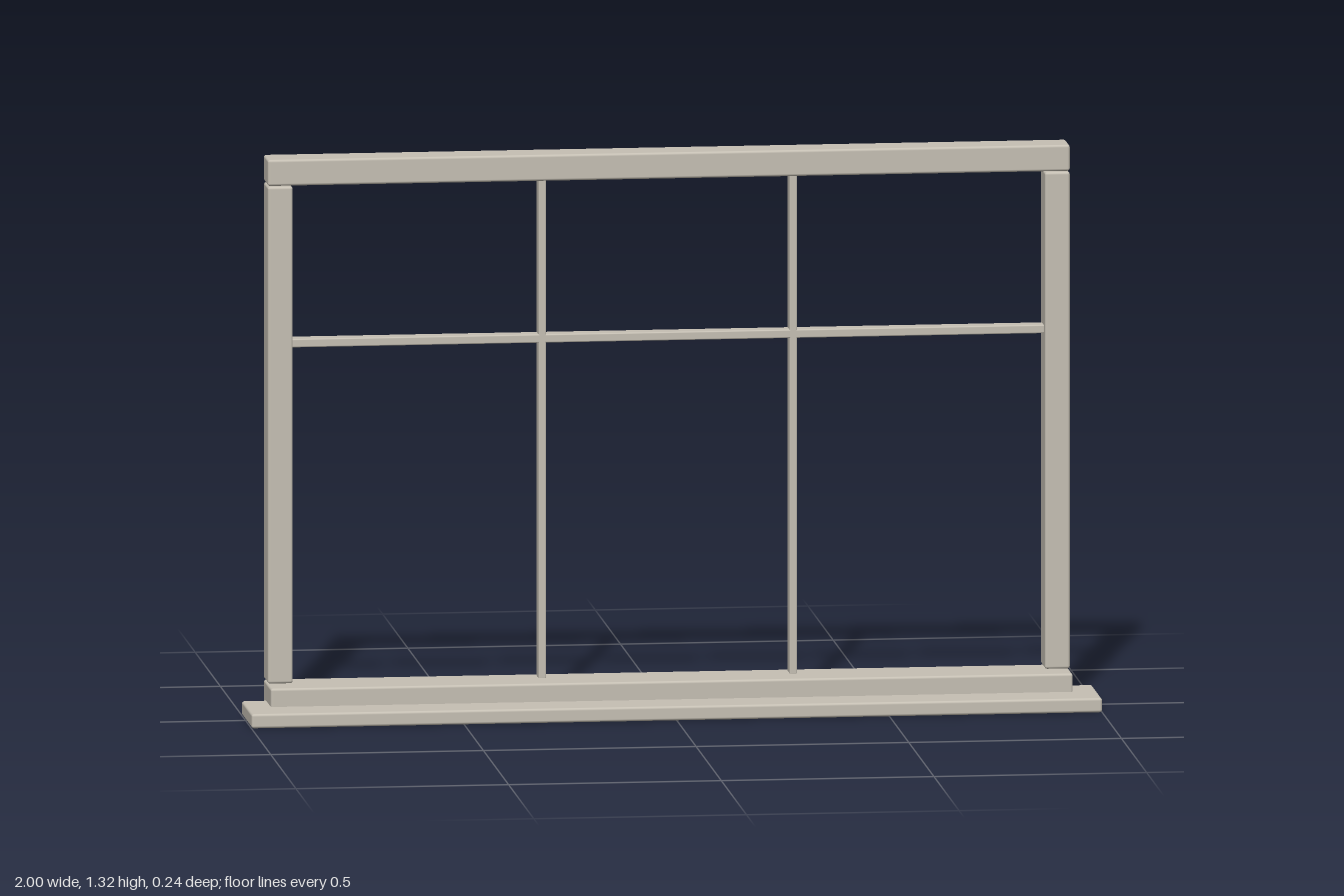
import * as THREE from 'three';
import { RoundedBoxGeometry } from 'three/addons/geometries/RoundedBoxGeometry.js';

export function createModel() {
  const group = new THREE.Group();
  group.name = 'windowFrame';

  const paint = new THREE.MeshStandardMaterial({ color: 0xc6c0b4 });
  paint.name = 'warm grey paint';

  // Softly eased timber, given by its extents on each axis
  function board(name, [x0, x1], [y0, y1], [z0, z1], ease = 0.006) {
    const geometry = new RoundedBoxGeometry(x1 - x0, y1 - y0, z1 - z0, 2, ease);
    const mesh = new THREE.Mesh(geometry, paint);
    mesh.name = name;
    mesh.position.set((x0 + x1) / 2, (y0 + y1) / 2, (z0 + z1) / 2);
    group.add(mesh);
  }

  const frameDepth = [-0.122, -0.038];
  const barDepth = [-0.1, -0.06];
  const opening = [0.079, 1.254];

  // Outer frame
  board('header', [-0.943, 0.943], [1.256, 1.318], frameDepth);
  board('leftJamb', [0.884, 0.943], opening, frameDepth);
  board('rightJamb', [-0.943, -0.884], opening, frameDepth);

  // Sill and the projecting ledge under it
  board('sill', [-0.943, 0.943], [0.015, 0.077], [-0.122, 0.021]);
  board('ledge', [-1, 1], [0, 0.034], [-0.078, 0.122]);

  // Glazing bars
  for (const [name, x] of [['leftMullion', 0.295], ['rightMullion', -0.295]]) {
    board(name, [x - 0.009, x + 0.009], [0.075, 1.258], barDepth, 0.003);
  }
  board('transom', [-0.886, 0.886], [0.87, 0.89], barDepth, 0.003);

  return group;
}
